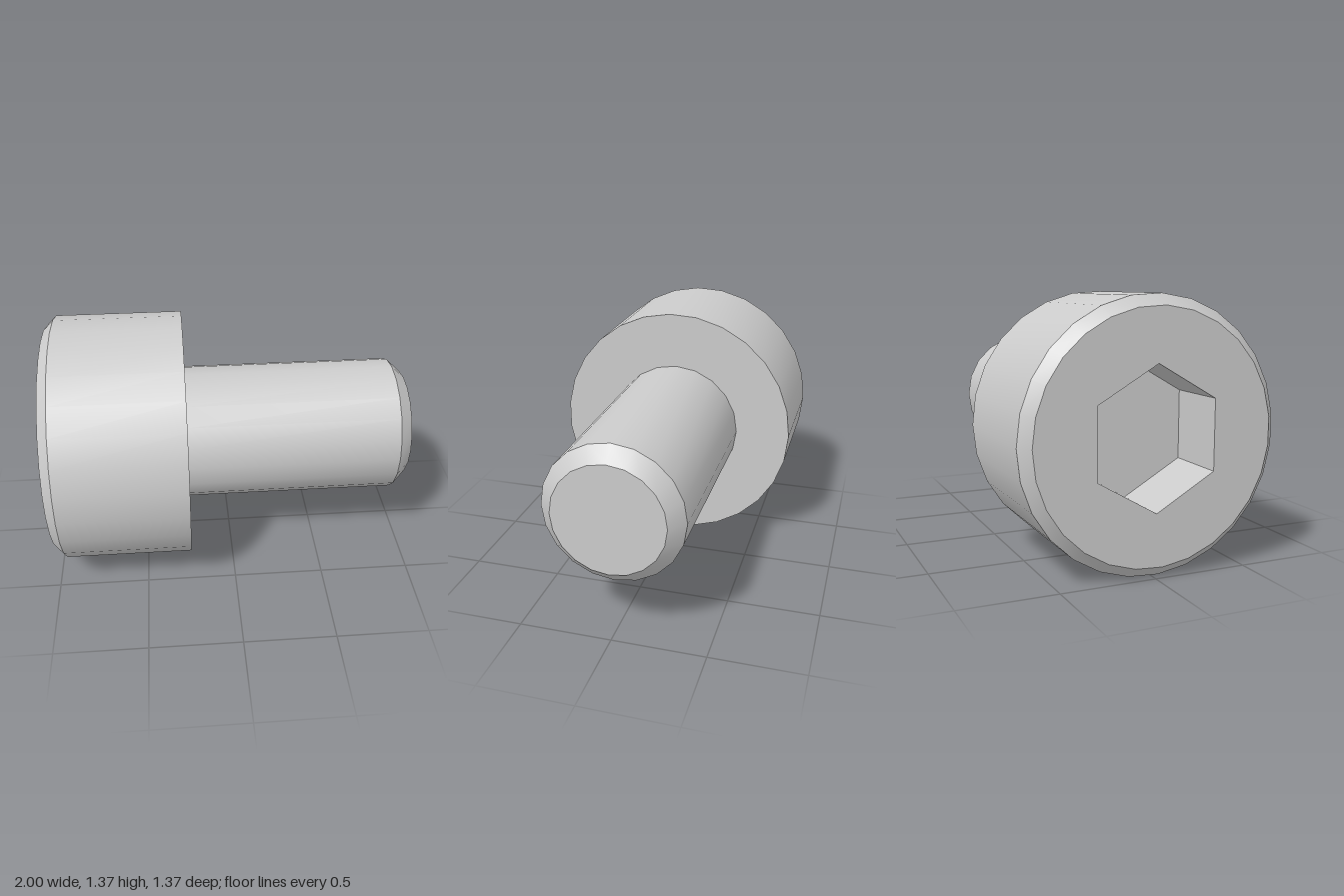
import * as THREE from 'three';
import { toCreasedNormals } from 'three/addons/utils/BufferGeometryUtils.js';

const HEAD_R = 0.6875, HEAD_SIDES = 27, FACE_R = 0.632;
const SOCKET_R = 0.361, SOCKET_DEPTH = 0.345;
const SHOULDER_X = -0.25;
const AXIS_Y = HEAD_R * Math.cos(Math.PI / 2 / HEAD_SIDES);

const material = new THREE.MeshStandardMaterial({ color: 0xcccccc });

// Turns a profile of [x along axis, radius] points around the x axis
function turned(name, profile, sides, startAngle) {
  const points = profile.map(([x, r]) => new THREE.Vector2(r, x));
  const geometry = new THREE.LatheGeometry(points, sides, startAngle);
  geometry.rotateZ(-Math.PI / 2);
  const mesh = new THREE.Mesh(toCreasedNormals(geometry, 0.5), material);
  mesh.name = name;
  return mesh;
}

// Corners of a regular polygon
function polygon(radius, sides, startAngle) {
  return Array.from({ length: sides }, (_, i) => {
    const a = startAngle + (i / sides) * Math.PI * 2;
    return new THREE.Vector2(radius * Math.cos(a), radius * Math.sin(a));
  });
}

export function createModel() {
  const screw = new THREE.Group();
  screw.name = 'socketHeadScrew';

  // Cylindrical head with a chamfered outer rim and flat underside
  screw.add(turned('head', [
    [-1, FACE_R], [-1 + HEAD_R - FACE_R, HEAD_R], [SHOULDER_X, HEAD_R], [SHOULDER_X, 0],
  ], HEAD_SIDES, Math.PI));

  // Flat end of the head, pierced by the hexagon
  const faceShape = new THREE.Shape(polygon(FACE_R, HEAD_SIDES, Math.PI));
  faceShape.holes.push(new THREE.Path(polygon(SOCKET_R, 6, Math.PI / 2)));
  const faceGeometry = new THREE.ShapeGeometry(faceShape);
  faceGeometry.rotateY(-Math.PI / 2);
  const face = new THREE.Mesh(faceGeometry, material);
  face.name = 'headFace';
  face.position.x = -1;
  screw.add(face);

  // Hexagonal socket: floor and walls
  screw.add(turned('hexSocket', [
    [-1 + SOCKET_DEPTH, 0], [-1 + SOCKET_DEPTH, SOCKET_R], [-1, SOCKET_R],
  ], 6, Math.PI / 2));

  // Plain shank with a chamfered tip
  screw.add(turned('shank', [
    [SHOULDER_X, 0.375], [0.922, 0.375], [1, 0.298], [1, 0],
  ], 20, 0));

  screw.position.y = AXIS_Y;
  const model = new THREE.Group();
  model.name = 'screwModel';
  model.add(screw);
  return model;
}
